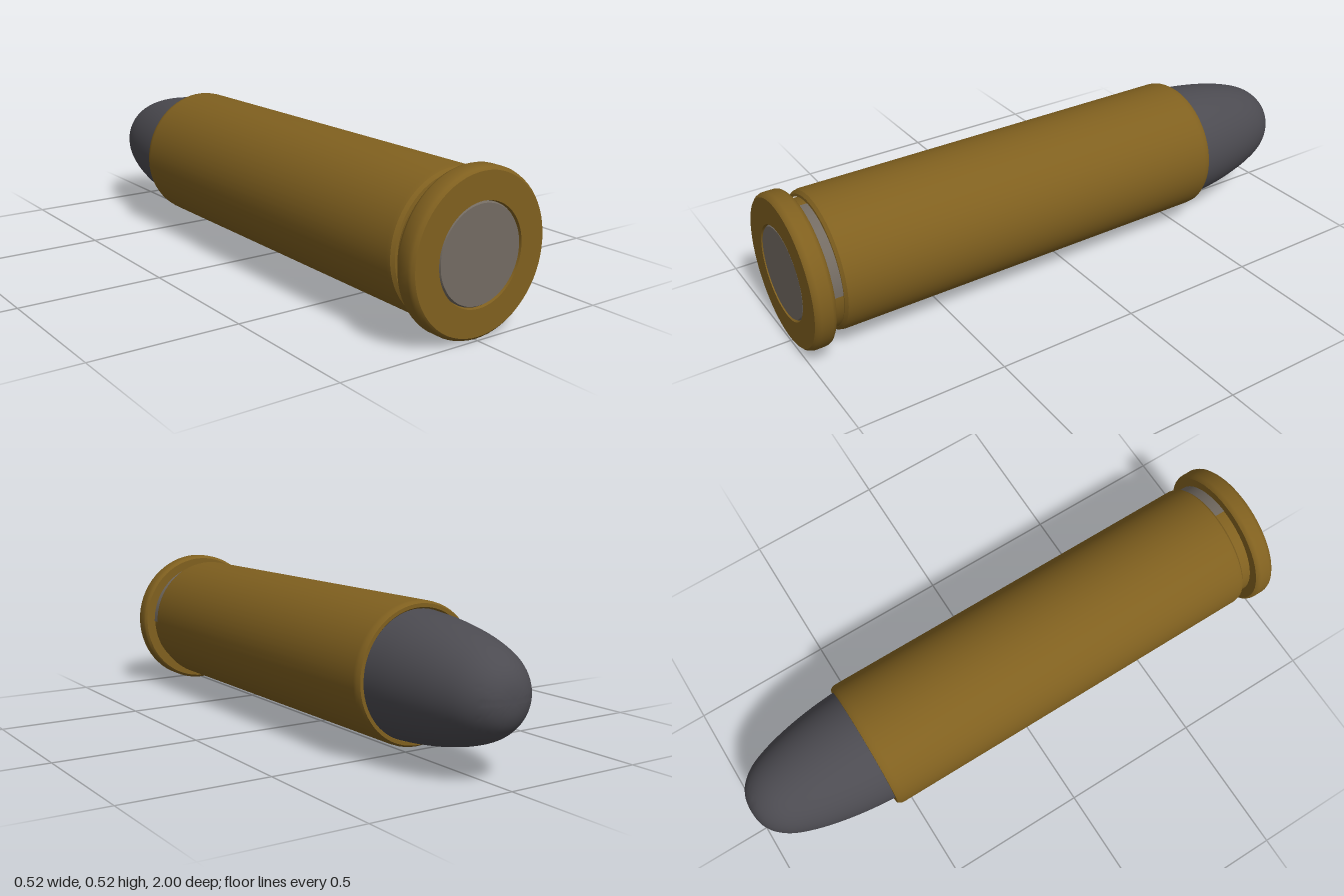
import * as THREE from 'three';
import { toCreasedNormals } from 'three/addons/utils/BufferGeometryUtils.js';

const brass = new THREE.MeshStandardMaterial({ name: 'brass', color: 0x80601f });
const lead = new THREE.MeshStandardMaterial({ name: 'lead', color: 0x4c4b51 });
const steel = new THREE.MeshStandardMaterial({ name: 'steel', color: 0x736b62 });

// Turned part along z: profile points are [radius, z], from back to front
function turned(name, profile, material, start = 0, sweep = Math.PI * 2, segments = 64) {
  const points = profile.map(([r, z]) => new THREE.Vector2(r, z));
  const lathe = new THREE.LatheGeometry(points, segments, start, sweep);
  lathe.rotateX(Math.PI / 2);
  const mesh = new THREE.Mesh(toCreasedNormals(lathe, 0.6), material);
  mesh.name = name;
  return mesh;
}

export function createModel() {
  const model = new THREE.Group();
  model.name = 'cartridge';

  // Rounded lead tip, widening towards the mouth of the case
  const curve = new THREE.SplineCurve([
    [0, -1], [0.05, -0.993], [0.095, -0.968], [0.135, -0.917], [0.165, -0.84],
    [0.187, -0.75], [0.203, -0.65], [0.212, -0.55],
  ].map(([r, z]) => new THREE.Vector2(r, z)));
  const tipProfile = curve.getPoints(28).map((p) => [Math.max(p.x, 0), p.y]);
  tipProfile[0] = [0, -1];
  const tip = turned('bulletTip', tipProfile, lead);

  // Case body with a softened mouth and shoulder
  const body = turned('caseBody', [
    [0.205, -0.55], [0.215, -0.562], [0.227, -0.562], [0.234, -0.55], [0.235, -0.535],
    [0.235, 0.865], [0.232, 0.88], [0.222, 0.889], [0.213, 0.89],
  ], brass);
  body.position.x = -0.004;
  body.position.y = 0.004;
  tip.position.y = 0.003;

  // Extractor groove, with bare metal on its upper left quarter
  const groove = turned('extractorGroove', [[0.215, 0.88], [0.215, 0.935]], brass);
  const bare = turned('grooveBareMetal', [[0.218, 0.89], [0.218, 0.93]], steel, Math.PI / 2, Math.PI / 2, 16);

  // Rim with bevelled edges and a recessed seat around the primer
  const rim = turned('rim', [
    [0.205, 0.93], [0.25, 0.93], [0.257, 0.936], [0.26, 0.945], [0.26, 0.982],
    [0.256, 0.993], [0.248, 1], [0.161, 1], [0.157, 0.985],
  ], brass);

  // Primer cap, nearly flush with the rim
  const primer = turned('primer', [[0.158, 0.98], [0.157, 0.992], [0.153, 0.998], [0, 0.998]], steel);

  const assembly = new THREE.Group();
  assembly.name = 'round';
  assembly.position.y = 0.26;
  assembly.add(tip, body, groove, bare, rim, primer);
  model.add(assembly);
  return model;
}
